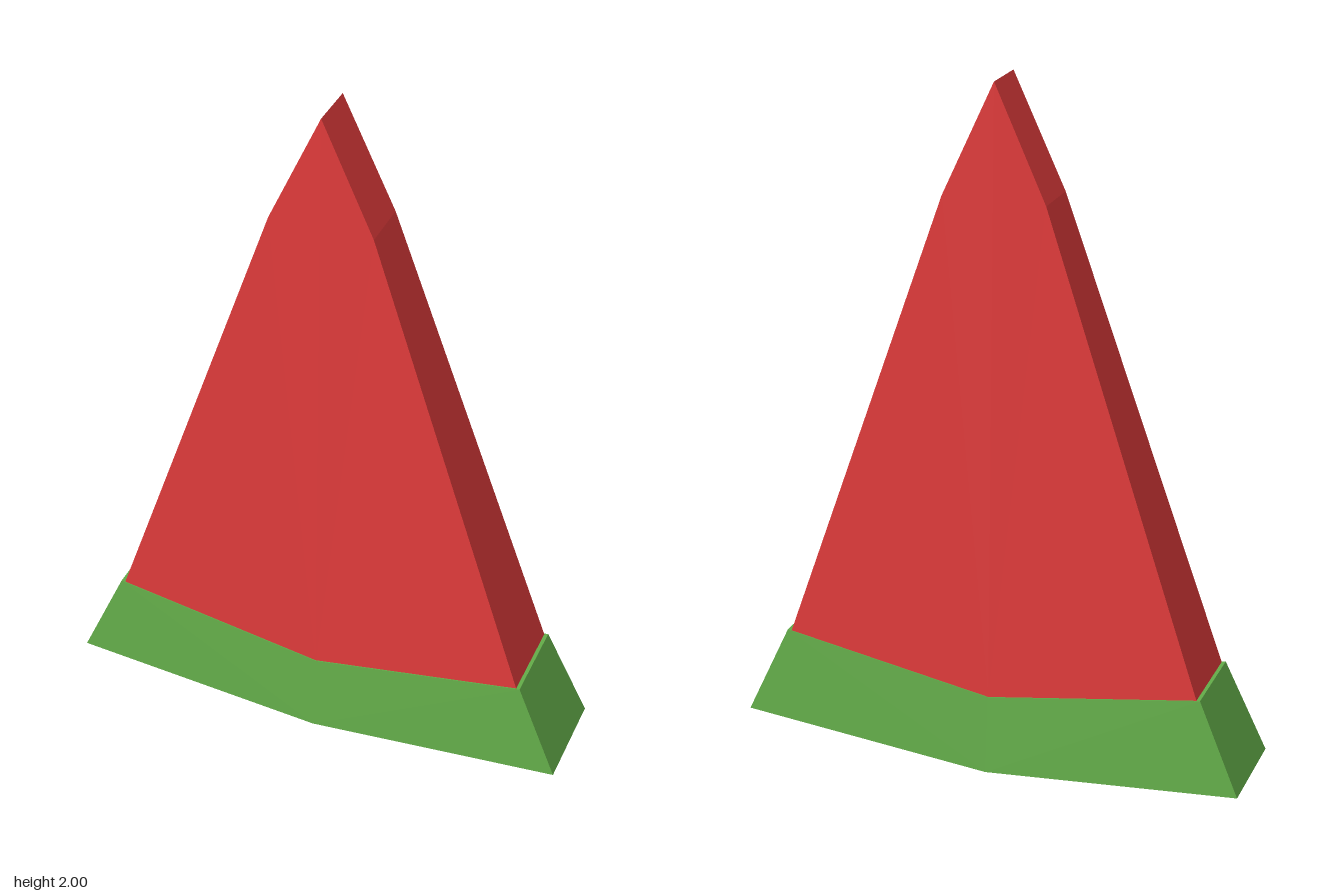
import * as THREE from 'three';

// Solid slab from a counter-clockwise outline of [x, y, half thickness];
// both faces are fanned from the first point.
function slab(outline) {
  const pos = [];
  const n = outline.length;
  const front = outline.map(([x, y, z]) => [x, y, z]);
  const back = outline.map(([x, y, z]) => [x, y, -z]);
  const tri = (a, b, c) => pos.push(...a, ...b, ...c);
  for (let i = 1; i < n - 1; i++) {
    tri(front[0], front[i], front[i + 1]);
    tri(back[0], back[i + 1], back[i]);
  }
  for (let i = 0; i < n; i++) {
    const j = (i + 1) % n;
    tri(front[i], back[i], back[j]);
    tri(front[i], back[j], front[j]);
  }
  const geometry = new THREE.BufferGeometry();
  geometry.setAttribute('position', new THREE.Float32BufferAttribute(pos, 3));
  geometry.computeVertexNormals();
  return geometry;
}

// Mirrors the right-hand points between the bottom and top centre points
function symmetric(bottom, side, top) {
  const mirrored = side.map(([x, y, z]) => [-x, y, z]).reverse();
  return [bottom, ...side, top, ...mirrored];
}

export function createModel() {
  const group = new THREE.Group();
  group.name = 'watermelonSlice';

  const red = new THREE.MeshStandardMaterial({ color: 0xe03b3b, flatShading: true });
  red.name = 'melon red';
  const green = new THREE.MeshStandardMaterial({ color: 0x63ac49, flatShading: true });
  green.name = 'rind green';

  // Tapering flesh with a pointed tip
  const flesh = new THREE.Mesh(slab(symmetric(
    [0, 0.228, 0.125],
    [[0.613, 0.333, 0.125], [0.148, 1.68, 0.077]],
    [0, 2, 0.072])), red);
  flesh.name = 'flesh';

  // Bent rind, slightly wider than the flesh at its upper edge
  const rind = new THREE.Mesh(slab(symmetric(
    [0, 0, 0.15],
    [[0.745, 0.067, 0.15], [0.624, 0.335, 0.128]],
    [0, 0.23, 0.128])), green);
  rind.name = 'rind';

  group.add(flesh, rind);
  return group;
}
